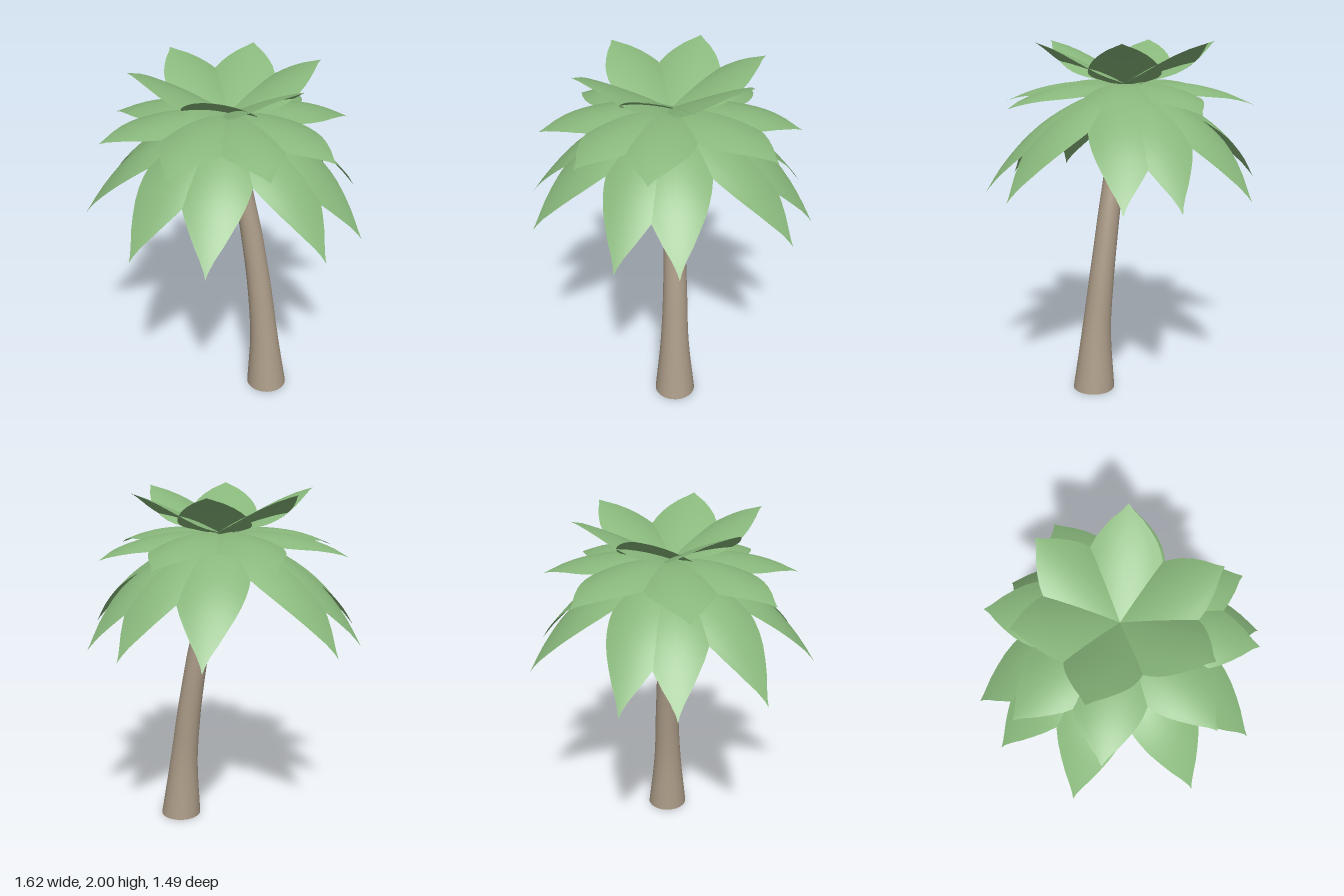
import * as THREE from 'three';

const leafGreen = new THREE.MeshStandardMaterial({ color: 0x88b77b, side: THREE.DoubleSide });
leafGreen.name = 'leaf green';
const barkBrown = new THREE.MeshStandardMaterial({ color: 0xac9c88, side: THREE.DoubleSide });
barkBrown.name = 'bark brown';

const spline = (pts) => new THREE.SplineCurve(pts.map(([x, y]) => new THREE.Vector2(x, y)));

// Half width of a leaf from stem to pointed tip, shared by every tier
const leafWidth = spline([
  [0, 0.05], [0.14, 0.11], [0.28, 0.165], [0.42, 0.195], [0.56, 0.188], [0.7, 0.152], [0.85, 0.083], [1, 0]
]);

// An arched leaf growing along +x; midline points are [distance, height]
function leafGeometry(midline, sag) {
  const mid = spline(midline);
  const length = midline[midline.length - 1][0];
  const geo = new THREE.PlaneGeometry(1, 2, 14, 8);
  geo.rotateX(-Math.PI / 2);
  const pos = geo.attributes.position;
  for (let i = 0; i < pos.count; i++) {
    const p = mid.getPoint(pos.getX(i) + 0.5);
    const t = THREE.MathUtils.clamp(p.x / length, 0, 1);
    const w = Math.max(0, leafWidth.getPoint(t).y) * pos.getZ(i);
    pos.setXYZ(i, p.x, p.y - sag * w * w, w);
  }
  geo.computeVertexNormals();
  return geo;
}

// Tiers of leaves: upright crown, flat middle, drooping skirt
const tiers = [
  {
    name: 'crownLeaf', sag: 1.1,
    midline: [[0, 1.755], [0.13, 1.823], [0.27, 1.893], [0.4, 1.95], [0.537, 2]],
    angles: [-61.7, -6.5, 58.6, 113.3, 185.6, 243.5]
  },
  {
    name: 'middleLeaf', sag: 1.2,
    midline: [[0, 1.755], [0.18, 1.778], [0.36, 1.768], [0.54, 1.727], [0.716, 1.655]],
    angles: [86, 127, 176, 216.5, 268.4, 319, -5, 53]
  },
  {
    name: 'skirtLeaf', sag: 1.35,
    midline: [[0, 1.74], [0.22, 1.695], [0.41, 1.603], [0.57, 1.48], [0.725, 1.307], [0.815, 1.185]],
    angles: [64.6, 110.4, 140.9, 186.8, 221.6, 242.6, 297, 331, 352, 41]
  }
];

// Curved open trunk, flared at the foot and slightly at the top
function createTrunk() {
  const height = 1.73;
  const path = new THREE.CatmullRomCurve3([
    [0.21, 0.14, 0.12], [0.192, 0.126, 0.085], [0.163, 0.096, 0.071],
    [0.119, 0.062, 0.063], [0.06, 0.027, 0.057], [0.012, -0.012, 0.074]
  ].map((p) => new THREE.Vector3(...p))); // x, z, radius at even heights
  const geo = new THREE.CylinderGeometry(1, 1, 1, 28, 20, true);
  const pos = geo.attributes.position;
  for (let i = 0; i < pos.count; i++) {
    const t = pos.getY(i) + 0.5;
    const c = path.getPoint(t);
    pos.setXYZ(i, c.x + pos.getX(i) * c.z, t * height, c.y + pos.getZ(i) * c.z);
  }
  geo.computeVertexNormals();
  // Weld the normals along the side seam
  const n = geo.attributes.normal;
  for (let row = 0; row <= 20; row++) {
    const a = row * 29, b = a + 28;
    const v = new THREE.Vector3().fromBufferAttribute(n, a)
      .add(new THREE.Vector3().fromBufferAttribute(n, b)).normalize();
    n.setXYZ(a, v.x, v.y, v.z);
    n.setXYZ(b, v.x, v.y, v.z);
  }
  const trunk = new THREE.Mesh(geo, barkBrown);
  trunk.name = 'trunk';
  return trunk;
}

export function createModel() {
  const tree = new THREE.Group();
  tree.name = 'palmTree';
  tree.add(createTrunk());

  for (const { name, sag, midline, angles } of tiers) {
    const geo = leafGeometry(midline, sag);
    const tier = new THREE.Group();
    tier.name = name + 'Tier';
    tier.position.z = -0.022;
    for (const angle of angles) {
      const leaf = new THREE.Mesh(geo, leafGreen);
      leaf.name = name;
      leaf.rotation.y = -THREE.MathUtils.degToRad(angle);
      tier.add(leaf);
    }
    tree.add(tier);
  }
  return tree;
}
